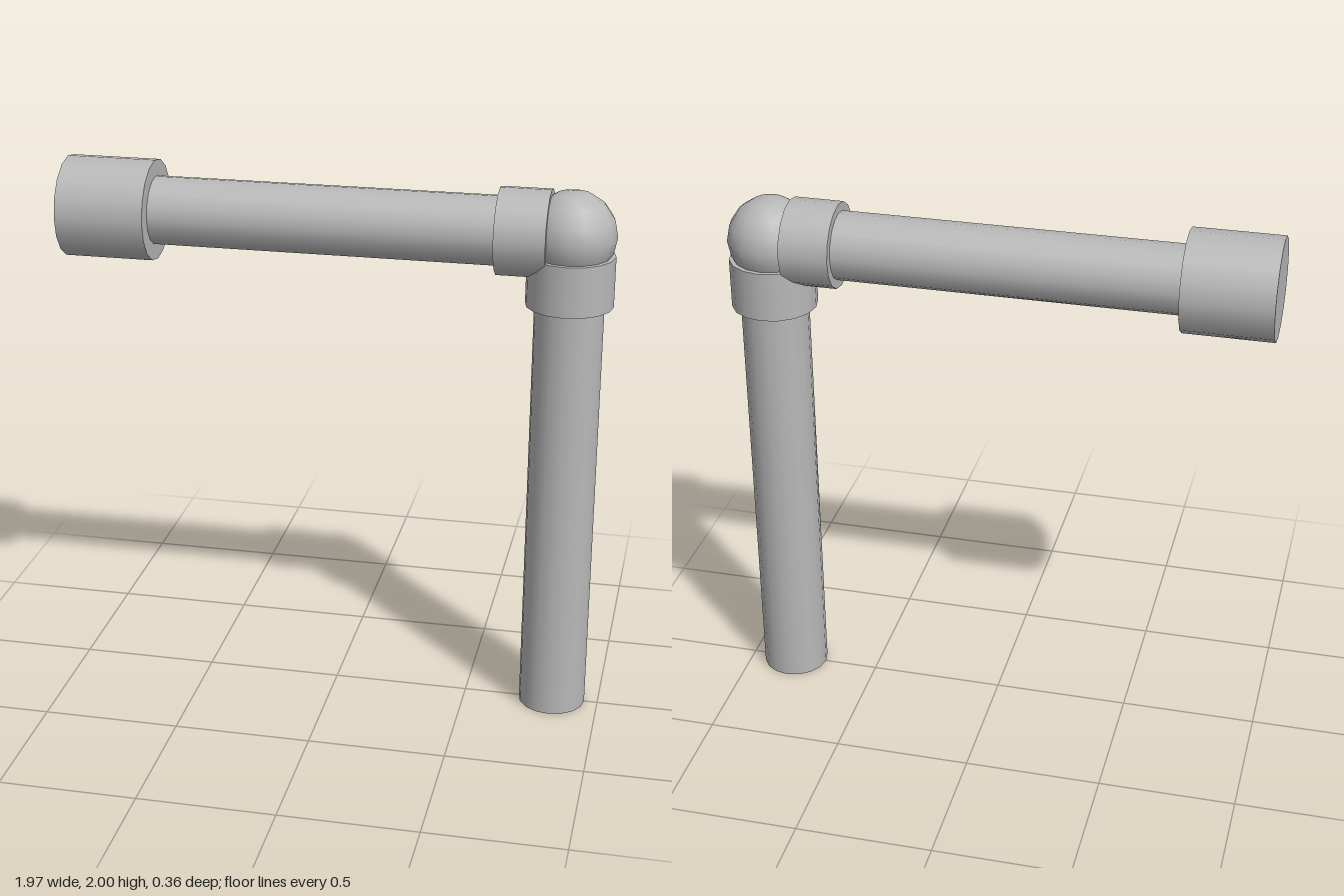
import * as THREE from 'three';

const SIDES = 16;
const AXIS_X = 0.828; // centre of the upright pipe
const AXIS_Y = 1.818; // centre of the horizontal pipe

export function createModel() {
  const model = new THREE.Group();
  model.name = 'elbowPipe';
  const grey = new THREE.MeshStandardMaterial({ color: 0xb8b8b8 });
  grey.name = 'grey';

  // Capped cylinder between two positions along the upright or horizontal axis
  function pipe(name, radius, from, to, horizontal) {
    const geometry = new THREE.CylinderGeometry(radius, radius, to - from, SIDES);
    const mesh = new THREE.Mesh(geometry, grey);
    mesh.name = name;
    const middle = (from + to) / 2;
    if (horizontal) {
      mesh.rotation.z = -Math.PI / 2;
      mesh.position.set(middle, AXIS_Y, 0);
    } else {
      mesh.position.set(AXIS_X, middle, 0);
    }
    model.add(mesh);
  }

  // Upright leg and its collar
  pipe('uprightPipe', 0.123, 0, 1.6, false);
  pipe('uprightCollar', 0.155, 1.565, 1.747, false);

  // Horizontal arm, its collar and the wide end cap
  pipe('horizontalPipe', 0.123, -0.7, 0.62, true);
  pipe('horizontalCollar', 0.155, 0.573, 0.752, true);
  pipe('endCap', 0.182, -0.985, -0.662, true);

  // Round elbow joining both collars
  const elbow = new THREE.Mesh(new THREE.SphereGeometry(0.157, SIDES, 8), grey);
  elbow.name = 'elbowBall';
  elbow.position.set(AXIS_X, AXIS_Y, 0);
  model.add(elbow);

  return model;
}
